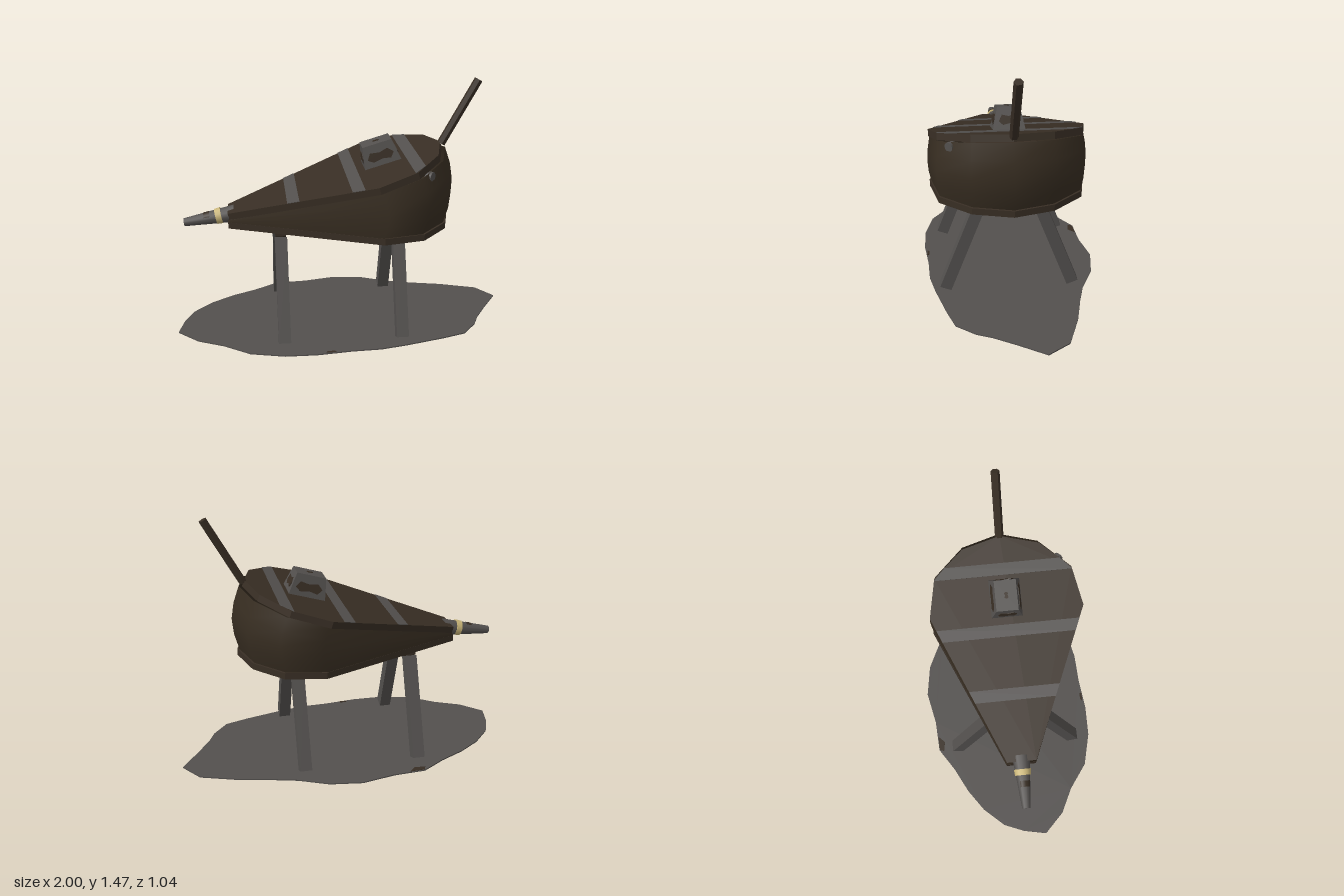
import * as THREE from 'three';

const mat = (name, color, side = THREE.FrontSide) => {
  const m = new THREE.MeshStandardMaterial({ color, side });
  m.name = name;
  return m;
};

export function createModel() {
  const wood = mat('dark wood', 0x382e24);
  const leather = mat('leather', 0x372d21, THREE.DoubleSide);
  const grey = mat('grey iron', 0x53504e);
  const brass = mat('brass', 0xc9b578);

  const model = new THREE.Group();
  model.name = 'bellows';
  const add = (parent, name, geometry, material) => {
    const m = new THREE.Mesh(geometry, material);
    m.name = name;
    parent.add(m);
    return m;
  };
  const flat = (g) => {
    const n = g.index ? g.toNonIndexed() : g;
    n.computeVertexNormals();
    return n;
  };
  // flat plate lying in xz, rising from y = 0
  const plate = (pts, depth) =>
    new THREE.ExtrudeGeometry(new THREE.Shape(pts.map(([x, z]) => new THREE.Vector2(x, -z))),
      { depth, bevelEnabled: false }).rotateX(-Math.PI / 2);
  // tapered round rod between two points
  const rod = (parent, name, a, b, ra, rb, sides, material, faceted = false) => {
    const A = new THREE.Vector3(...a), B = new THREE.Vector3(...b);
    let g = new THREE.CylinderGeometry(rb, ra, A.distanceTo(B), sides);
    if (faceted) g = flat(g);
    const m = add(parent, name, g, material);
    m.position.copy(A).lerp(B, 0.5);
    m.quaternion.setFromUnitVectors(new THREE.Vector3(0, 1, 0), B.sub(A).normalize());
    return m;
  };

  // Ground patch
  const ground = [[-1, .16], [-.97, .02], [-.92, -.1], [-.81, -.22], [-.68, -.31], [-.53, -.385],
    [-.39, -.475], [-.2, -.485], [0, -.525], [.19, -.495], [.36, -.415], [.5, -.375], [.69, -.33],
    [.91, -.25], [1, -.12], [.9, .03], [.82, .16], [.78, .25], [.69, .36], [.55, .405], [.32, .465],
    [.17, .495], [0, .5], [-.2, .52], [-.385, .515], [-.58, .465], [-.73, .355], [-.88, .28]];
  add(model, 'groundPatch', plate(ground.reverse(), 0.007), grey);
  add(model, 'groundStain', plate([[-.4, -.445], [-.34, -.435], [-.3, -.475], [-.39, -.472]].reverse(), 0.009), wood);
  add(model, 'groundStain', plate([[-.15, .505], [-.09, .508], [-.1, .492], [-.14, .494]], 0.009), wood);

  const body = new THREE.Group();
  body.name = 'body';
  body.position.z = 0.025;
  model.add(body);

  // Pear-shaped outline: distance from the hinge and half width
  const half = [[0, .085], [.865, .447], [1.095, .4], [1.25, .225]];
  const outline = [...half, [1.31, 0], ...half.map(([u, w]) => [u, -w]).reverse()];
  const widthAt = (u) => {
    for (let i = 1; i < half.length; i++) {
      const [u0, w0] = half[i - 1], [u1, w1] = half[i];
      if (u <= u1) return w0 + (w1 - w0) * (u - u0) / (u1 - u0);
    }
    return 0;
  };

  // Boards
  const tilt = 0.288, thick = 0.04, cos = Math.cos(tilt), sin = Math.sin(tilt);
  add(body, 'bottomBoard', plate(outline, 0.038), wood).position.set(-0.68, 0.635, 0);
  const lid = new THREE.Group();
  lid.name = 'lid';
  lid.position.set(-0.67, 0.687, 0);
  lid.rotation.z = tilt;
  body.add(lid);
  add(lid, 'topBoard', plate(outline, thick), wood);

  // Iron straps across the lid
  for (const x of [-0.307, 0.045, 0.39]) {
    const u = (x + 0.68) / cos, a = u - 0.035, b = u + 0.035;
    const strap = [[a, widthAt(a)], [b, widthAt(b)], [b, -widthAt(b)], [a, -widthAt(a)]];
    add(lid, 'strap', plate(strap, 0.003), grey).position.y = thick;
  }

  // Valve block with stained faces
  const block = new THREE.Group();
  block.name = 'valveBlock';
  block.position.set(0.945, thick, 0);
  lid.add(block);
  const H = 0.125;
  const bg = new THREE.BoxGeometry(0.22, H, 0.18).translate(0, H / 2, 0);
  const bp = bg.attributes.position;
  for (let i = 0; i < bp.count; i++) {
    if (bp.getY(i) > 0.01) bp.setXYZ(i, bp.getX(i) * 0.8, H, bp.getZ(i) * 0.7);
  }
  add(block, 'block', flat(bg), grey);
  const blob = (w, h) => plate([[-w, .3 * h], [-.6 * w, h], [.1 * w, .7 * h], [.7 * w, h], [w, 0],
    [.6 * w, -h], [0, -.6 * h], [-.7 * w, -.9 * h]], 0.004);
  add(block, 'stain', blob(0.02, 0.012), wood).position.y = H - 0.001;
  for (let k = 0; k < 4; k++) {
    const side = k % 2, pivot = new THREE.Group();
    pivot.name = 'stainedFace';
    pivot.rotation.y = k * Math.PI / 2;
    block.add(pivot);
    const s = add(pivot, 'stain', blob(side ? 0.055 : 0.08, 0.03), wood);
    s.position.set(0, 0.055, side ? 0.0995 : 0.077);
    s.rotation.x = Math.PI / 2 - Math.atan((side ? 0.022 : 0.027) / H);
  }

  // Leather wall: bottom, bulging middle and top rings
  const n = outline.length, pos = [], idx = [];
  for (const t of [0, 0.25, 0.5, 0.75, 1]) {
    const bulge = Math.sin(t * Math.PI);
    for (const [u, w] of outline) {
      const top = [-0.67 + u * cos, 0.69 + u * sin], bottom = [-0.68 + u * 0.99, 0.67];
      pos.push(bottom[0] + (top[0] - bottom[0]) * t + u * (0.033 * bulge + 0.015 * t),
        bottom[1] + (top[1] - bottom[1]) * t, w * (0.985 + 0.035 * bulge));
    }
  }
  for (let r = 0; r < 4; r++) {
    for (let i = 0; i < n; i++) {
      const a = r * n + i, b = r * n + (i + 1) % n;
      idx.push(a, b, b + n, a, b + n, a + n);
    }
  }
  const wall = new THREE.BufferGeometry();
  wall.setAttribute('position', new THREE.Float32BufferAttribute(pos, 3));
  wall.setIndex(idx);
  wall.computeVertexNormals();
  add(body, 'leatherWall', wall, leather);
  rod(body, 'rivet', [0.435, 0.99, 0.315], [0.464, 0.99, 0.341], 0.027, 0.027, 10, grey);

  // Nozzle with brass ring
  rod(body, 'nozzle', [-0.64, 0.698, 0], [-0.938, 0.653, 0], 0.052, 0.024, 12, grey);
  rod(body, 'nozzleRing', [-0.718, 0.689, 0], [-0.752, 0.682, 0], 0.049, 0.046, 12, brass);
  rod(body, 'nozzleStain', [-0.785, 0.6765, 0], [-0.82, 0.671, 0], 0.0395, 0.0362, 12, wood)
    .geometry = new THREE.CylinderGeometry(0.0362, 0.0395, 0.035, 6, 1, true, 0.4, 1.8);

  // Handle
  rod(body, 'handle', [0.58, 1.085, 0], [0.788, 1.46, 0], 0.025, 0.025, 6, wood, true);

  // Trestles: cross bar and two splayed legs each
  for (const x of [-0.38, 0.305]) {
    const bar = new THREE.Shape([[-.18, .64], [-.18, .61], [-.125, .58], [.125, .58], [.18, .61], [.18, .64]]
      .map(([z, y]) => new THREE.Vector2(z, y)));
    add(body, 'crossBar', new THREE.ExtrudeGeometry(bar, { depth: 0.06, bevelEnabled: false })
      .translate(0, 0, -0.03).rotateY(Math.PI / 2), wood).position.x = x;
    for (const s of [1, -1]) {
      const leg = add(body, 'leg', new THREE.BoxGeometry(0.07, 0.61, 0.07), grey);
      leg.position.set(x, 0.312, s * 0.267);
      leg.rotation.x = -s * 0.37;
    }
  }
  return model;
}
